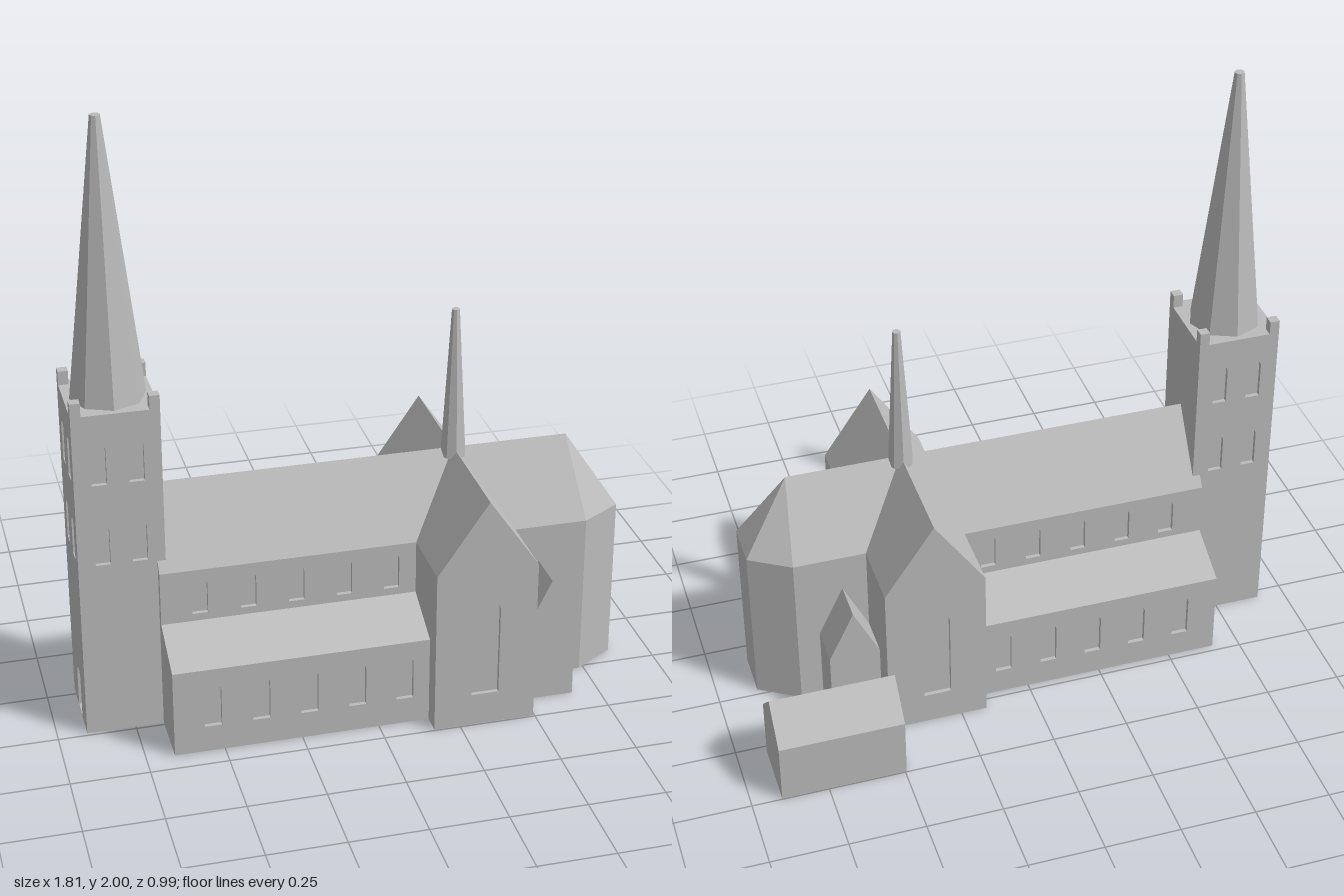
import * as THREE from 'three';
import { ConvexGeometry } from 'three/addons/geometries/ConvexGeometry.js';

const stone = new THREE.MeshStandardMaterial({ color: 0xbcbcbc });
stone.name = 'grey stone';
const D = 0.014; // depth of window recesses

function add(parent, name, geometry, x = 0, y = 0, z = 0) {
  const mesh = new THREE.Mesh(geometry.index ? geometry.toNonIndexed() : geometry, stone);
  mesh.geometry.computeVertexNormals();
  mesh.name = name;
  mesh.position.set(x, y, z);
  parent.add(mesh);
  return mesh;
}

const polygon = (pts) => new THREE.Shape(pts.map(([x, y]) => new THREE.Vector2(x, y)));
const extrude = (shape, depth) =>
  new THREE.ExtrudeGeometry(shape, { depth, bevelEnabled: false, curveSegments: 8 });

// Profile in (z, y) swept along x from x0 to x1
function alongX(pts, x0, x1) {
  return extrude(polygon(pts), x1 - x0).rotateY(-Math.PI / 2).translate(x1, 0, 0);
}

// Profile in (x, y) swept along z from z0 to z1
function alongZ(pts, z0, z1) {
  return extrude(polygon(pts), z1 - z0).translate(0, 0, z0);
}

// Gabled outline
const gable = (c, half, eave, ridge) =>
  [[c - half, 0], [c + half, 0], [c + half, eave], [c, ridge], [c - half, eave]];

const rect = (x0, x1, y1) => [[x0, 0], [x1, 0], [x1, y1], [x0, y1]];

// Wall slab of thickness D, pierced by round-headed openings [centre, width, bottom, top]
function piercedWall(outline, openings) {
  const shape = polygon(outline);
  for (const [c, w, bottom, top] of openings) {
    const r = w / 2;
    const hole = new THREE.Path();
    hole.moveTo(c - r, bottom);
    hole.lineTo(c + r, bottom);
    hole.lineTo(c + r, top - r);
    hole.absarc(c, top - r, r, 0, Math.PI, false);
    hole.lineTo(c - r, bottom);
    shape.holes.push(hole);
  }
  return extrude(shape, D);
}

// The same pierced wall on the front and back of a part
function wallPair(parent, name, outline, openings, half, x = 0) {
  add(parent, name + 'Front', piercedWall(outline, openings), x, 0, half - D);
  add(parent, name + 'Back', piercedWall(outline, openings), x, 0, -half);
}

function buildNave(parent) {
  const nave = new THREE.Group();
  nave.name = 'nave';
  const bays = [-0.535, -0.38, -0.225, -0.07, 0.085];
  const h = 0.16, a = 0.328;
  const x0 = -0.66, x1 = 0.165;

  // Core and roof, the walls set back behind the pierced slabs
  add(nave, 'naveCoreAndRoof', alongX([
    [-h + D, 0], [h - D, 0], [h - D, 0.555], [h, 0.555],
    [0, 0.795], [-h, 0.555], [-h + D, 0.555],
  ], x0, 0.33));
  wallPair(nave, 'clerestory', rect(x0, x1, 0.555), bays.map((x) => [x, 0.05, 0.4, 0.525]), h);

  // Lean-to aisles
  for (const s of [-1, 1]) {
    const pts = [[0.1, 0], [a - D, 0], [a - D, 0.295], [a, 0.295], [h, 0.375], [0.1, 0.375]]
      .map(([z, y]) => [s * z, y]);
    add(nave, s > 0 ? 'frontAisle' : 'backAisle', alongX(pts, x0, x1));
  }
  wallPair(nave, 'aisleWall', rect(x0, x1, 0.295), bays.map((x) => [x, 0.055, 0.09, 0.245]), a);
  parent.add(nave);
}

function buildTower(parent) {
  const tower = new THREE.Group();
  tower.name = 'tower';
  tower.position.x = -0.77;
  const h = 0.136, top = 1.11;
  const windows = [];
  for (const x of [-0.058, 0.058]) {
    windows.push([x, 0.047, 0.6, 0.74], [x, 0.047, 0.875, 1.015]);
  }

  // Core box is open to the recesses on three sides
  add(tower, 'towerCore', new THREE.BoxGeometry(2 * h - D, top, 2 * (h - D)), D / 2, top / 2, 0);
  wallPair(tower, 'towerWall', rect(-h, h, top), windows, h);
  const west = piercedWall(rect(-h + D, h - D, top), [...windows, [0, 0.07, 0.003, 0.165]]);
  add(tower, 'towerDoorWall', west, -h + D, 0, 0).rotation.y = -Math.PI / 2;

  // Corner pinnacles
  for (const sx of [-1, 1]) {
    for (const sz of [-1, 1]) {
      add(tower, 'cornerPinnacle', new THREE.BoxGeometry(0.032, 0.045, 0.032),
        sx * (h - 0.016), top + 0.0225, sz * (h - 0.016));
    }
  }
  add(tower, 'spire', new THREE.CylinderGeometry(0.016, 0.118, 0.89, 8), 0, 1.555, 0);
  parent.add(tower);
}

function buildTransept(parent) {
  const transept = new THREE.Group();
  transept.name = 'transept';
  const h = 0.393;
  const outline = gable(0.33, 0.165, 0.555, 0.795);
  add(transept, 'transeptCore', alongZ(outline, -h + D, h - D));
  wallPair(transept, 'transeptGable', outline, [[0.33, 0.09, 0.11, 0.45]], h);
  add(transept, 'crossingSpire', new THREE.CylinderGeometry(0.013, 0.042, 0.505, 8), 0.33, 1.0225, 0);
  add(transept, 'sideChapels', alongZ(gable(0.578, 0.083, 0.26, 0.43), -0.297, 0.297));
  parent.add(transept);
}

function buildChoir(parent) {
  // Choir with a three-sided end and hipped roof
  const points = [[0.34, 0.795, 0], [0.71, 0.795, 0]];
  for (const s of [-1, 1]) {
    for (const y of [0, 0.555]) {
      points.push([0.34, y, s * 0.16], [0.735, y, s * 0.16], [0.868, y, s * 0.078]);
    }
  }
  add(parent, 'choir', new ConvexGeometry(points.map((p) => new THREE.Vector3(...p))));
}

export function createModel() {
  const model = new THREE.Group();
  model.name = 'church';
  const church = new THREE.Group();
  church.name = 'mainChurch';
  church.position.z = 0.102;
  buildNave(church);
  buildTower(church);
  buildTransept(church);
  buildChoir(church);
  model.add(church);
  // Small outbuilding behind the choir
  add(model, 'sacristy', alongX(gable(-0.385, 0.112, 0.205, 0.315), 0.495, 0.902));
  return model;
}
